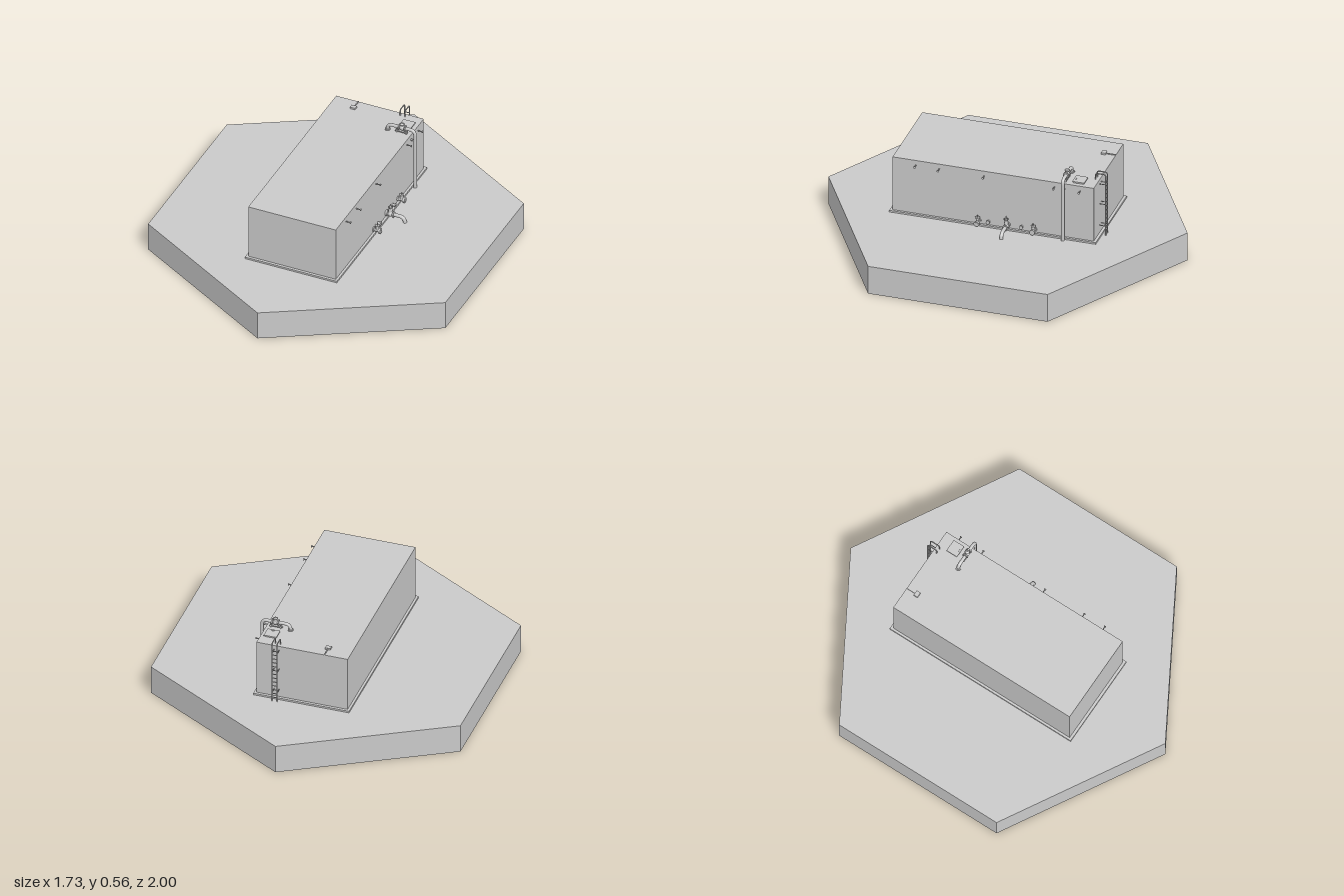
import * as THREE from 'three';
import { toCreasedNormals } from 'three/addons/utils/BufferGeometryUtils.js';

const GROUND = 0.165, ROOF = 0.495, WALL = 0.255;

export function createModel() {
  const model = new THREE.Group();
  const grey = new THREE.MeshStandardMaterial({ color: 0xcacaca });
  grey.name = 'concreteGrey';

  const add = (name, geometry, x = 0, y = 0, z = 0, parent = model) => {
    const mesh = new THREE.Mesh(geometry, grey);
    mesh.name = name;
    mesh.position.set(x, y, z);
    parent.add(mesh);
    return mesh;
  };
  const box = (name, w, h, d, x, y, z, parent) =>
    add(name, new THREE.BoxGeometry(w, h, d), x, y, z, parent);
  // Cylinder lying along x or z, or standing along y
  const rod = (name, r, length, axis, x, y, z, parent, sides = 14) => {
    const g = new THREE.CylinderGeometry(r, r, length, sides);
    if (axis === 'x') g.rotateZ(Math.PI / 2);
    if (axis === 'z') g.rotateX(Math.PI / 2);
    return add(name, g, x, y, z, parent);
  };
  // Pipe through corner points with rounded elbows
  const pipe = (name, points, radius, bend, parent = model) => {
    const p = points.map((q) => new THREE.Vector3(...q));
    const path = new THREE.CurvePath();
    let from = p[0];
    for (let i = 1; i < p.length - 1; i++) {
      const a = p[i].clone().add(p[i - 1].clone().sub(p[i]).setLength(bend));
      const b = p[i].clone().add(p[i + 1].clone().sub(p[i]).setLength(bend));
      path.add(new THREE.LineCurve3(from, a));
      path.add(new THREE.QuadraticBezierCurve3(a, p[i], b));
      from = b;
    }
    path.add(new THREE.LineCurve3(from, p[p.length - 1]));
    const mesh = add(name, new THREE.TubeGeometry(path, 90, radius, 10), 0, 0, 0, parent);
    [[p[0], p[1]], [p[p.length - 1], p[p.length - 2]]].forEach(([end, next]) => {
      const cap = add(name + 'End', new THREE.CircleGeometry(radius, 10), end.x, end.y, end.z, parent);
      cap.quaternion.setFromUnitVectors(new THREE.Vector3(0, 0, 1), end.clone().sub(next).normalize());
    });
    return mesh;
  };
  const group = (name, x, y, z) => {
    const g = new THREE.Group();
    g.name = name;
    g.position.set(x, y, z);
    model.add(g);
    return g;
  };

  // Hexagonal slab, footing and tank body
  add('hexagonalBase', toCreasedNormals(new THREE.CylinderGeometry(1, 1, GROUND, 6), 0.5), 0, GROUND / 2, 0);
  box('tankFooting', 0.536, 0.01, 1.15, 0, GROUND + 0.005, 0);
  box('tankBody', WALL * 2, ROOF - GROUND, 1.12, 0, (ROOF + GROUND) / 2, 0);

  // Gate valve on a pipe along x, with a pointed bonnet
  const gateValve = (name, x, y, z, stem) => {
    const v = group(name, x, y, z);
    add('valveBody', new THREE.SphereGeometry(0.015, 14, 10), 0, 0, 0, v);
    [-0.018, 0.018].forEach((o) => rod('valveFlange', 0.017, 0.006, 'x', o, 0, 0, v));
    const profile = [[0, 0.006], [0.012, 0.006], [0.009, 0.016], [0.012, 0.018], [0.012, 0.022], [0.004, stem * 0.8], [0, stem]]
      .map(([r, h]) => new THREE.Vector2(r, h));
    add('valveBonnet', toCreasedNormals(new THREE.LatheGeometry(profile, 12), 0.6), 0, 0, 0, v);
    const wheel = add('handWheel', new THREE.TorusGeometry(0.012, 0.002, 6, 16), 0, stem * 0.65, 0, v);
    wheel.rotation.x = Math.PI / 2;
  };

  // Filling pipe rising up the wall and over the roof
  const fz = -0.395;
  pipe('fillPipe', [[0.28, GROUND, fz], [0.28, 0.53, fz], [0.12, 0.53, fz], [0.12, ROOF, fz]], 0.0095, 0.03);
  gateValve('fillValve', 0.205, 0.53, fz, 0.034);
  rod('fillPipeFlange', 0.015, 0.006, 'y', 0.12, ROOF + 0.003, fz);
  box('fillPipeBracket', 0.03, 0.006, 0.012, 0.268, 0.467, fz);
  box('fillPipeSupport', 0.07, 0.006, 0.014, 0.2, 0.505, fz);
  [0.175, 0.23].forEach((x) => box('supportLeg', 0.005, 0.03, 0.01, x, 0.51, fz));

  // Outlet pipe bending down to the slab
  const oz = -0.08, oy = 0.196;
  pipe('outletPipe', [[WALL, oy, oz], [0.362, oy, oz], [0.366, GROUND, oz]], 0.0105, 0.03);
  rod('outletFlange', 0.016, 0.006, 'x', WALL + 0.003, oy, oz);
  gateValve('outletValve', 0.281, oy, oz, 0.066);

  // Two capped drain valves with hand wheels
  [0.08, -0.23].forEach((z) => {
    const v = group('drainValve', 0, 0.192, z);
    rod('drainPipe', 0.009, 0.045, 'x', WALL + 0.0225, 0, 0, v);
    rod('drainFlange', 0.014, 0.006, 'x', WALL + 0.003, 0, 0, v);
    rod('drainCap', 0.015, 0.012, 'x', 0.293, 0, 0, v);
    rod('drainBonnet', 0.009, 0.026, 'y', 0.278, 0.014, 0, v);
    rod('drainWheel', 0.013, 0.005, 'y', 0.278, 0.029, 0, v);
    rod('drainStem', 0.003, 0.016, 'y', 0.278, 0.036, 0, v, 8);
  });

  // Blanked nozzles between the valves
  [0.025, -0.16].forEach((z) => {
    rod('nozzle', 0.007, 0.02, 'x', WALL + 0.009, 0.198, z);
    rod('nozzleCap', 0.011, 0.006, 'x', WALL + 0.016, 0.198, z);
  });

  // Small studs along the upper wall
  [0.43, 0.3, 0.05, -0.342, -0.485].forEach((z) => {
    rod('wallStud', 0.003, 0.028, 'x', WALL + 0.014, 0.467, z, model, 8);
    rod('studHead', 0.0065, 0.004, 'x', WALL + 0.027, 0.467, z, model, 10);
  });

  // Roof hatch with rim and handle
  box('hatchRim', 0.06, 0.006, 0.056, 0.2, ROOF + 0.003, -0.467);
  box('hatchLid', 0.07, 0.005, 0.066, 0.2, ROOF + 0.0085, -0.467);
  box('hatchHandle', 0.02, 0.003, 0.004, 0.2, ROOF + 0.0125, -0.445);

  // Level gauge box and its conduit
  box('gaugeBox', 0.03, 0.01, 0.024, -0.125, ROOF + 0.005, -0.495);
  box('gaugeConduit', 0.005, 0.005, 0.054, -0.125, ROOF + 0.0025, -0.533);

  // Access ladder with hooped rails
  const lz = -0.595;
  [0.128, 0.156].forEach((x) => {
    pipe('ladderRail', [[x, GROUND, lz], [x, 0.531, lz], [x, 0.531, -0.538], [x, ROOF, -0.538]], 0.0033, 0.014);
    [0.22, 0.35, 0.47].forEach((y) => rod('ladderBracket', 0.0025, 0.035, 'z', x, y, -0.5775, model, 6));
  });
  for (let i = 0; i < 13; i++) {
    rod('ladderRung', 0.0025, 0.028, 'x', 0.142, 0.188 + i * 0.0245, lz, model, 6);
  }
  return model;
}
